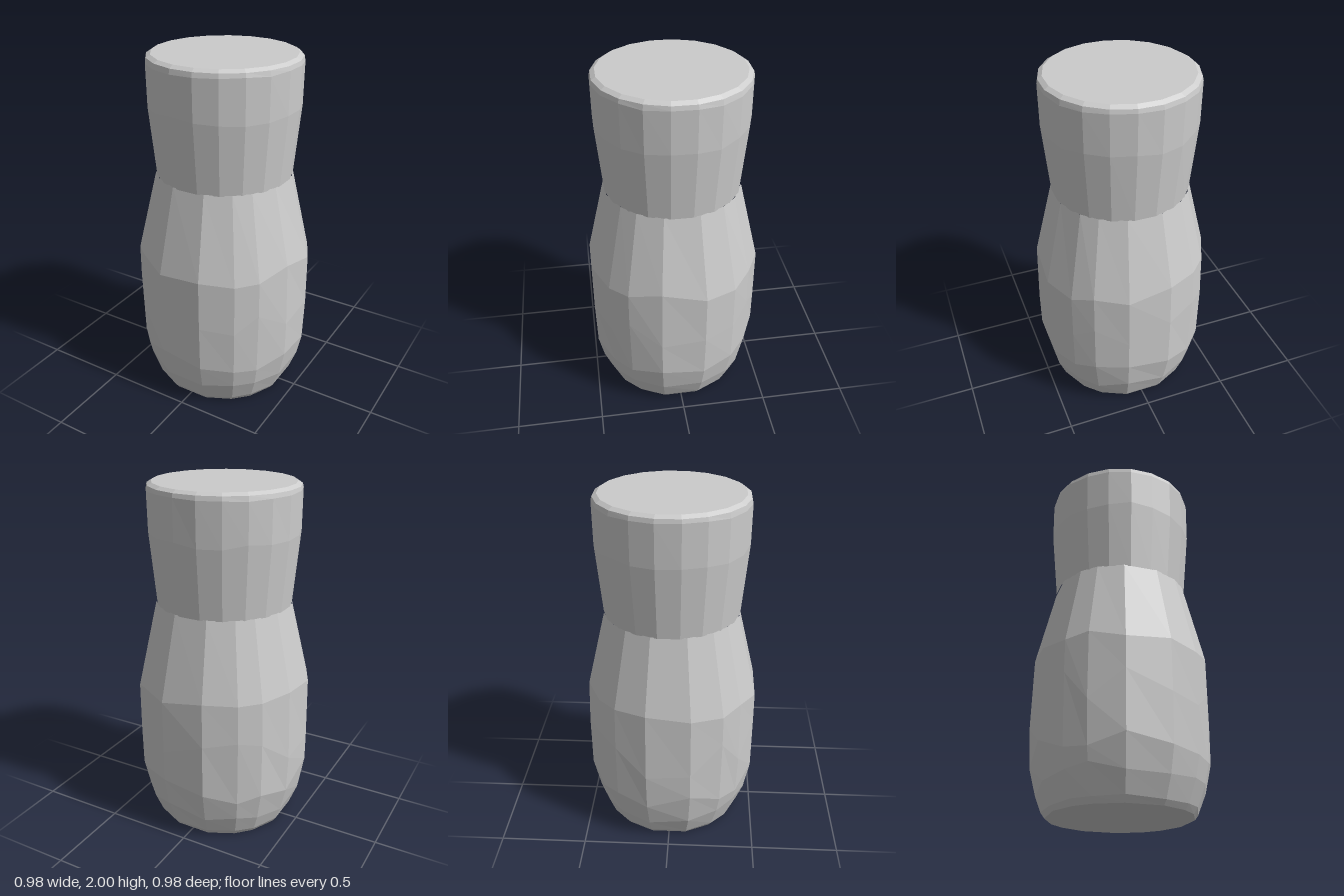
import * as THREE from 'three';

const material = new THREE.MeshStandardMaterial({ color: 0xcccccc, flatShading: true });

// Repeatable pseudo-random value in -1..1 for a facet corner
function noise(i, j) {
  const s = Math.sin(i * 12.9898 + j * 78.233 + 3.7) * 43758.5453;
  return 2 * (s - Math.floor(s)) - 1;
}

// Faceted turned shape; rows are [radius, y, height jitter]
function turned(name, rows, sides, warp) {
  const radiusAt = (y) => {
    for (let k = 1; k < rows.length; k++) {
      const [r0, y0] = rows[k - 1], [r1, y1] = rows[k];
      if (y <= y1 && y1 > y0) return r0 + (r1 - r0) * Math.max(0, (y - y0) / (y1 - y0));
    }
    return rows[rows.length - 1][0];
  };
  const points = rows.map(([r, y]) => new THREE.Vector2(r, y));
  const geometry = new THREE.LatheGeometry(points, sides);
  const pos = geometry.attributes.position;
  for (let i = 0; i <= sides; i++) {
    const base = ((i % sides) + 0.5) / sides * Math.PI * 2;
    const angle = base + warp * Math.sin(4 * base);
    rows.forEach(([r, y, jitter], j) => {
      const h = y + jitter * noise(i % sides, j);
      const radius = jitter ? radiusAt(h) : r;
      pos.setXYZ(i * rows.length + j, radius * Math.sin(angle), h, radius * Math.cos(angle));
    });
  }
  geometry.computeVertexNormals();
  const mesh = new THREE.Mesh(geometry, material);
  mesh.name = name;
  return mesh;
}

export function createModel() {
  const group = new THREE.Group();
  group.name = 'shaker';

  // Bulging lower body with a flat base
  group.add(turned('body', [
    [0, 0, 0], [0.4, 0, 0], [0.422, 0.03, 0.01], [0.468, 0.15, 0.04],
    [0.502, 0.31, 0.05], [0.504, 0.58, 0.1], [0.503, 0.86, 0.04], [0.388, 1.335, 0],
  ], 16, 0.08));

  // Flared cap with a bevelled rim and flat top
  group.add(turned('cap', [
    [0.386, 1.33, 0], [0.423, 1.73, 0.015], [0.425, 1.96, 0.006],
    [0.419, 1.985, 0], [0.395, 2, 0], [0, 2, 0],
  ], 20, 0));

  return group;
}
